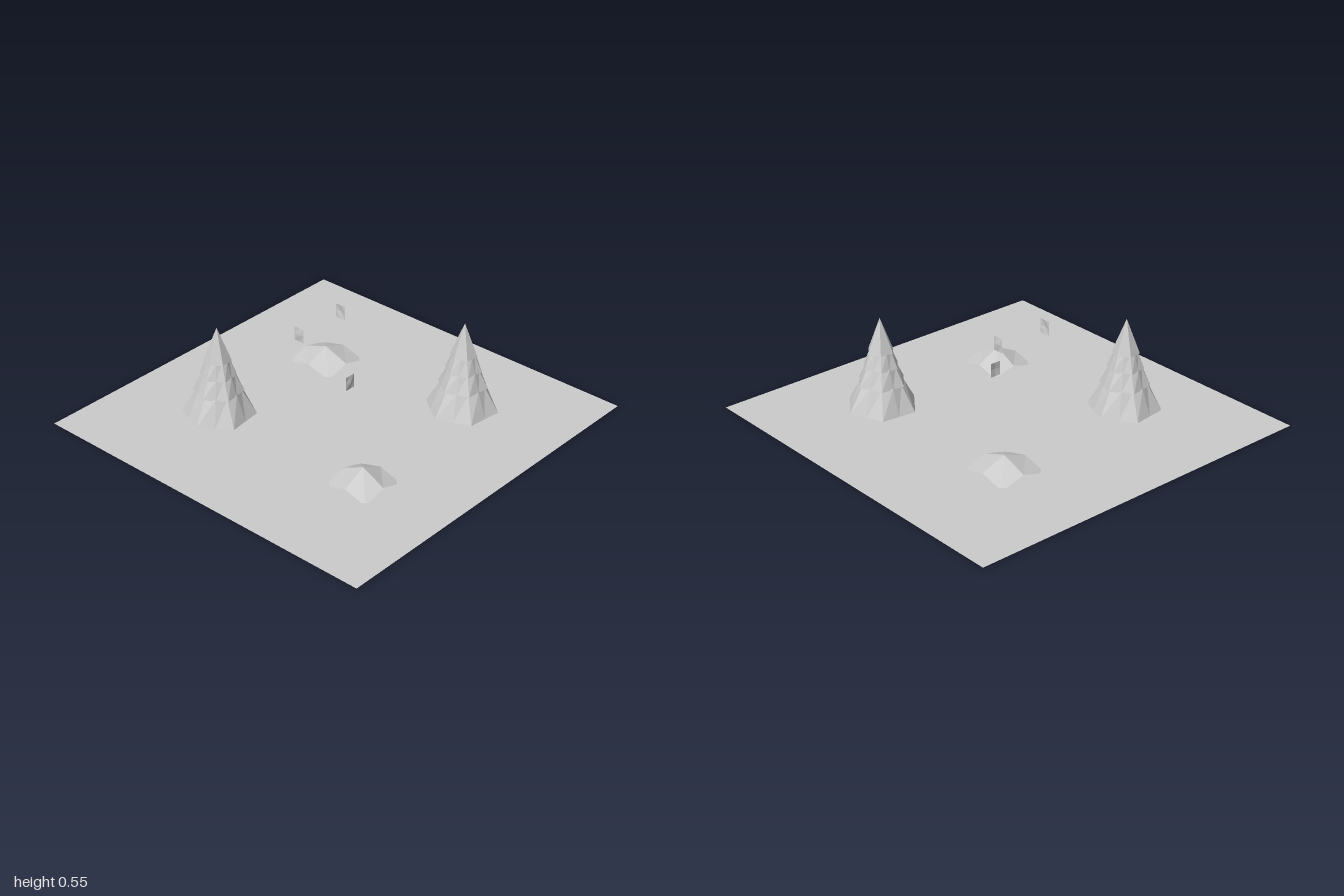
import * as THREE from 'three';

const mat = new THREE.MeshStandardMaterial({ color: 0xcccccc, flatShading: true, side: THREE.DoubleSide });
const GROUND_Y = 0.008;

function addMesh(parent, name, geometry, x = 0, y = 0, z = 0) {
  const mesh = new THREE.Mesh(geometry, mat);
  mesh.name = name;
  mesh.position.set(x, y, z);
  parent.add(mesh);
  return mesh;
}

// One skirt of branches: hexagonal lower rim rising to a rounder, narrower rim
function tierGeometry(y0, r0, y1, r1, turn) {
  const n = 12, pos = [], idx = [];
  for (let i = 0; i < n; i++) {
    const a = turn + (i / n) * Math.PI * 2;
    const hex = i % 2 ? Math.cos(Math.PI / 6) : 1;
    pos.push(r0 * hex * Math.cos(a), y0, r0 * hex * Math.sin(a));
    pos.push(r1 * Math.cos(a), y1, r1 * Math.sin(a));
    const b = i * 2, c = ((i + 1) % n) * 2;
    idx.push(b, b + 1, c);
    if (r1 > 0) idx.push(c, b + 1, c + 1);
  }
  const g = new THREE.BufferGeometry();
  g.setAttribute('position', new THREE.Float32BufferAttribute(pos, 3));
  g.setIndex(idx);
  g.computeVertexNormals();
  return g;
}

// Tree of stacked skirts, ending in a pointed top
function makeTree(name, x, y, z, turn) {
  const tree = new THREE.Group();
  tree.name = name;
  tree.position.set(x, y, z);
  const tiers = [
    [0, 0.187, 0.135, 0.112],
    [0.13, 0.128, 0.225, 0.082],
    [0.22, 0.094, 0.305, 0.058],
    [0.3, 0.07, 0.48, 0],
  ];
  tiers.forEach(([y0, r0, y1, r1], i) =>
    addMesh(tree, 'branchTier' + (i + 1), tierGeometry(y0, r0, y1, r1, turn)));
  return tree;
}

// Low mound: a 2 x 2 patch, high in the middle, corners tucked into the ground
function moundGeometry(w, d, h) {
  const g = new THREE.PlaneGeometry(w, d, 2, 2).rotateX(-Math.PI / 2);
  const p = g.attributes.position;
  for (let i = 0; i < p.count; i++) {
    const edges = (Math.abs(p.getX(i)) > 0.01) + (Math.abs(p.getZ(i)) > 0.01);
    p.setY(i, [h, 0.038, 0][edges]);
  }
  g.computeVertexNormals();
  return g;
}

// Small floating panel with a slightly raised centre
function panelGeometry() {
  const g = new THREE.PlaneGeometry(0.06, 0.075, 2, 2);
  g.attributes.position.setZ(4, 0.006);
  g.computeVertexNormals();
  return g;
}

export function createModel() {
  const model = new THREE.Group();
  model.name = 'forestPatch';

  addMesh(model, 'ground', new THREE.PlaneGeometry(2, 2).rotateX(-Math.PI / 2), 0, GROUND_Y, 0);

  model.add(makeTree('backTree', -0.44, 0.07, -0.395, -0.12));
  model.add(makeTree('frontTree', 0.428, 0.045, 0.449, 0.12));

  addMesh(model, 'frontMound', moundGeometry(0.255, 0.255, 0.1), -0.37, 0, 0.488);
  addMesh(model, 'backMound', moundGeometry(0.27, 0.28, 0.088), 0.36, 0, -0.405);

  // Side panels face outwards, the centre panel faces the front
  for (const [name, x, side] of [['rightPanel', -0.155, -1], ['leftPanel', 0.147, 1]]) {
    addMesh(model, name, panelGeometry(), x, 0.495, -0.115).rotation.y = side * Math.PI / 2;
  }
  addMesh(model, 'centrePanel', panelGeometry(), -0.008, 0.237, 0.085);

  return model;
}
